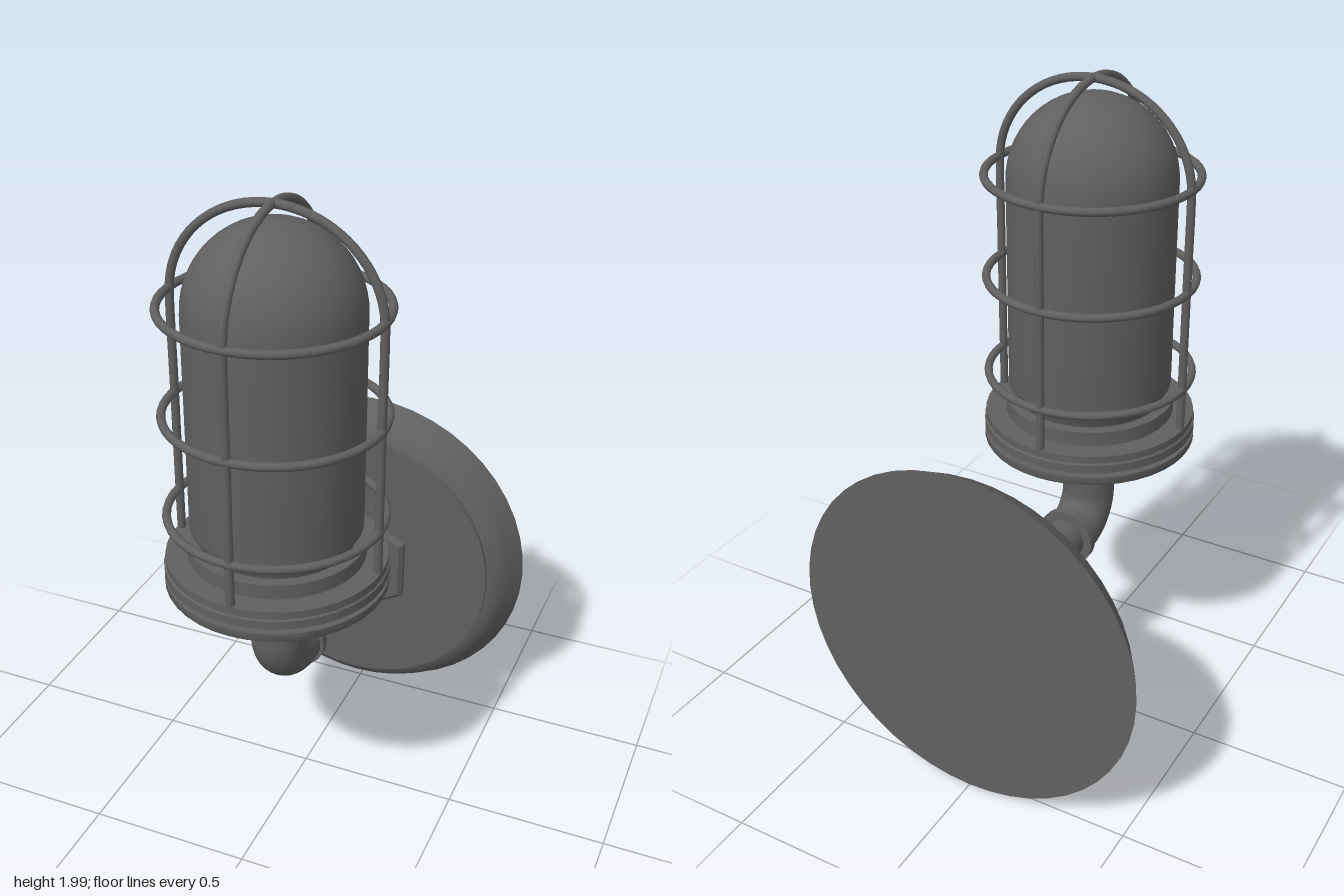
import * as THREE from 'three';
import { toCreasedNormals } from 'three/addons/utils/BufferGeometryUtils.js';

const LAMP_Z = 0.21;   // vertical axis of the lamp
const PIPE_Y = 0.556;  // horizontal axis of the wall plate and arm

export function createModel() {
  const model = new THREE.Group();
  model.name = 'cagedWallLamp';
  const metal = new THREE.MeshStandardMaterial({ color: 0x606061 });
  metal.name = 'dark grey metal';

  const add = (name, geometry, parent = model) => {
    const mesh = new THREE.Mesh(geometry, metal);
    mesh.name = name;
    parent.add(mesh);
    return mesh;
  };
  const lathe = (profile, sides = 40) => toCreasedNormals(
    new THREE.LatheGeometry(profile.map(([r, h]) => new THREE.Vector2(r, h)), sides), 0.6);
  // Turned parts: upright on the lamp axis, or pointing forward on the arm axis
  const upright = (name, profile, sides) =>
    add(name, lathe(profile, sides).translate(0, 0, LAMP_Z));
  const forward = (name, profile, sides) =>
    add(name, lathe(profile, sides).rotateX(Math.PI / 2).translate(0, PIPE_Y, 0));

  // Wall plate with a rounded, sloping rim and a shallow raised face
  forward('wallPlate', [[0, -0.54], [0.547, -0.54], [0.515, -0.487], [0.503, -0.469],
    [0.488, -0.455], [0.47, -0.445], [0.455, -0.44], [0.455, -0.426], [0, -0.426]], 48);

  // Hexagonal nut with a chamfered front
  forward('hexNut', [[0, -0.43], [0.2, -0.43], [0.2, -0.41], [0.186, -0.396], [0, -0.396]], 6);

  // Bell-shaped flange and horizontal arm
  forward('armFlange', [[0, -0.4], [0.127, -0.4], [0.122, -0.385], [0.11, -0.369],
    [0.095, -0.36], [0.075, -0.355], [0, -0.355]]);
  forward('armPipe', [[0.066, -0.36], [0.066, 0.07]], 32);
  forward('armCollar', [[0, 0.055], [0.093, 0.055], [0.093, 0.081], [0, 0.081]], 32);

  // Elbow turning from the arm up to the lamp
  const bend = 0.11;
  const elbow = new THREE.CurvePath();
  const at = (y, z) => new THREE.Vector3(0, y, z);
  elbow.add(new THREE.LineCurve3(at(PIPE_Y, 0.07), at(PIPE_Y, LAMP_Z - bend)));
  const k = bend * 0.5523;
  elbow.add(new THREE.CubicBezierCurve3(at(PIPE_Y, LAMP_Z - bend), at(PIPE_Y, LAMP_Z - bend + k),
    at(PIPE_Y + bend - k, LAMP_Z), at(PIPE_Y + bend, LAMP_Z)));
  elbow.add(new THREE.LineCurve3(at(PIPE_Y + bend, LAMP_Z), at(0.735, LAMP_Z)));
  add('elbow', new THREE.TubeGeometry(elbow, 36, 0.082, 32));
  upright('elbowCollar', [[0, 0.729], [0.091, 0.729], [0.091, 0.755], [0, 0.755]], 32);

  // Neck flaring into the socket cup
  upright('neck', [[0.062, 0.75], [0.062, 0.79], [0.068, 0.81], [0.085, 0.825]], 32);
  upright('socketCup', [[0, 0.825], [0.125, 0.825], [0.178, 0.862], [0.178, 0.875]]);

  // Stacked base rings with a groove between them
  upright('baseRings', [[0, 0.87], [0.322, 0.87], [0.325, 0.875], [0.325, 0.897], [0.302, 0.897],
    [0.302, 0.912], [0.325, 0.912], [0.325, 0.938], [0.32, 0.942], [0.32, 0.965], [0, 0.965]]);
  upright('globeSeat', [[0.258, 0.96], [0.258, 1.01], [0, 1.01]]);

  // Globe: tapered foot, straight wall and hemispherical top
  const globe = [[0.222, 1.0], [0.228, 1.025], [0.247, 1.055], [0.248, 1.07], [0.248, 1.697]];
  for (let i = 1; i <= 14; i++) {
    const a = (i / 14) * Math.PI / 2;
    globe.push([i === 14 ? 0 : 0.248 * Math.cos(a), 1.697 + 0.248 * Math.sin(a)]);
  }
  upright('globe', globe, 48);

  // Cage: two crossing hoops and three horizontal rings
  const cage = new THREE.Group();
  cage.name = 'cage';
  cage.position.z = LAMP_Z;
  model.add(cage);
  const R = 0.308, wire = 0.0125, springY = 1.7, rise = 2 - wire - springY;
  const hoopPoints = [];
  for (const y of [0.955, 1.2, 1.45]) hoopPoints.push(new THREE.Vector3(R, y, 0));
  for (let i = 0; i <= 24; i++) {
    const a = (i / 24) * Math.PI;
    hoopPoints.push(new THREE.Vector3(R * Math.cos(a), springY + rise * Math.sin(a), 0));
  }
  for (const y of [1.45, 1.2, 0.955]) hoopPoints.push(new THREE.Vector3(-R, y, 0));
  const hoop = new THREE.CatmullRomCurve3(hoopPoints);
  for (let i = 0; i < 2; i++) {
    add('cageHoop', new THREE.TubeGeometry(hoop, 90, wire, 10), cage).rotation.y = i * Math.PI / 2;
  }
  for (const y of [1.095, 1.405, 1.715]) {
    add('cageRing', new THREE.TorusGeometry(R + 0.002, wire, 10, 48).rotateX(Math.PI / 2), cage).position.y = y;
  }
  return model;
}
